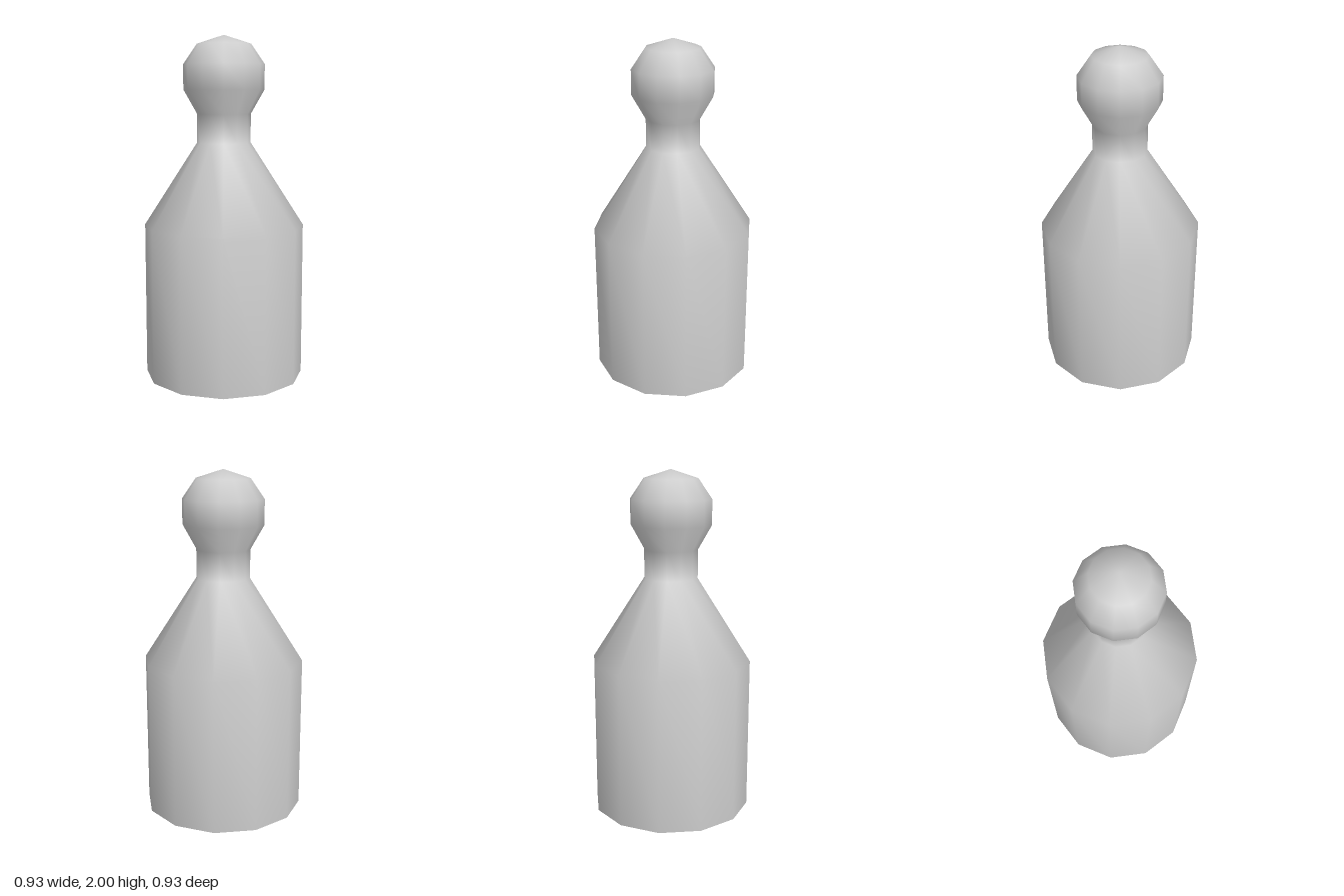
import * as THREE from 'three';
import { mergeVertices } from 'three/addons/utils/BufferGeometryUtils.js';

const SIDES = 12;
const RADIUS = 0.467;

// Twelve-sided lathe with welded vertices, so normals blend across the seam and the tip
function smoothLathe(profile) {
  const points = profile.map(([r, y]) => new THREE.Vector2(r, y));
  const geometry = new THREE.LatheGeometry(points, SIDES);
  geometry.deleteAttribute('uv');
  geometry.deleteAttribute('normal');
  const welded = mergeVertices(geometry, 1e-4);
  welded.computeVertexNormals();
  return welded;
}

export function createModel() {
  const group = new THREE.Group();
  group.name = 'pegFigure';
  const material = new THREE.MeshStandardMaterial({ color: 0xcccccc });

  // Body, shoulders, neck and round head as one turned surface
  const body = new THREE.Mesh(smoothLathe([
    [RADIUS, 0],
    [RADIUS, 0.9],
    [0.156, 1.385],
    [0.156, 1.55],
    [0.235, 1.69],
    [0.235, 1.835],
    [0.156, 1.95],
    [0, 2],
  ]), material);
  body.name = 'turnedBody';

  // Flat underside with a sharp rim
  const base = new THREE.Mesh(new THREE.CircleGeometry(RADIUS, SIDES).rotateX(Math.PI / 2), material);
  base.name = 'base';

  group.add(body, base);
  return group;
}
